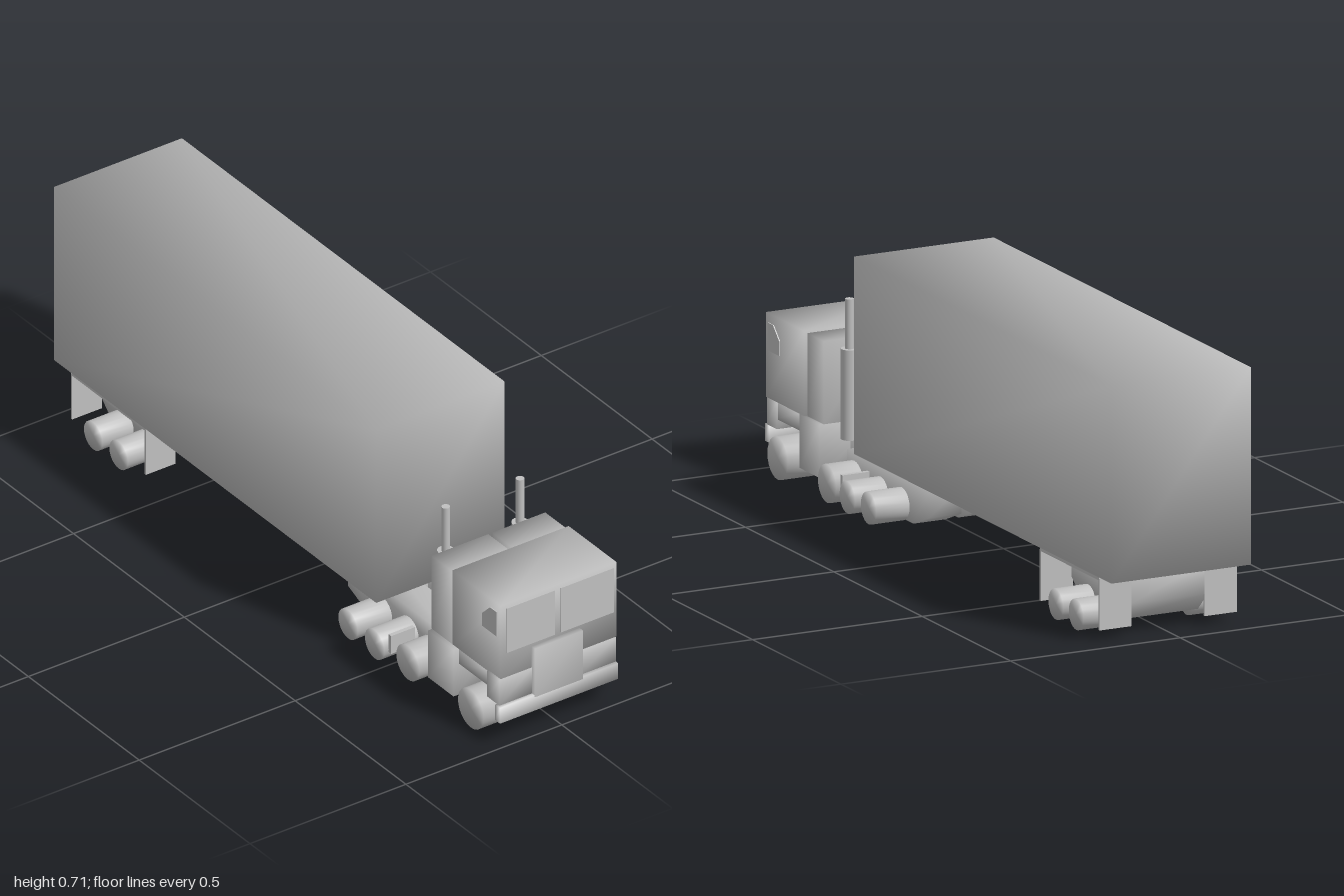
import * as THREE from 'three';
import { mergeVertices } from 'three/addons/utils/BufferGeometryUtils.js';

const grey = new THREE.MeshStandardMaterial({ color: 0xc0c0c0 });
grey.name = 'plain grey';

// Weld corners so that shading flows softly over the edges
function soften(geo) {
  geo.deleteAttribute('uv');
  geo.deleteAttribute('normal');
  const welded = mergeVertices(geo, 1e-4);
  welded.computeVertexNormals();
  return welded;
}

export function createModel() {
  const truck = new THREE.Group();
  truck.name = 'truck';

  function add(name, geo, soft = true) {
    const mesh = new THREE.Mesh(soft ? soften(geo) : geo, grey);
    mesh.name = name;
    truck.add(mesh);
    return mesh;
  }
  // Box given by its limits on each axis
  function box(name, x0, x1, y0, y1, z0, z1, soft = true) {
    const geo = new THREE.BoxGeometry(x1 - x0, y1 - y0, z1 - z0);
    geo.translate((x0 + x1) / 2, (y0 + y1) / 2, (z0 + z1) / 2);
    return add(name, geo, soft);
  }
  // Cylinder lying along x
  function roller(name, x0, x1, y, z, r) {
    const geo = new THREE.CylinderGeometry(r, r, x1 - x0, 24);
    geo.rotateZ(Math.PI / 2);
    geo.translate((x0 + x1) / 2, y, z);
    return add(name, geo);
  }
  // Side outline in (z, y), extruded from x0 to x1
  function slab(name, x0, x1, outline, soft = true) {
    const shape = new THREE.Shape(outline.map(([z, y]) => new THREE.Vector2(-z, y)));
    const geo = new THREE.ExtrudeGeometry(shape, { depth: x1 - x0, bevelEnabled: false });
    geo.rotateY(Math.PI / 2);
    geo.translate(x0, 0, 0);
    return add(name, geo, soft);
  }
  function pipe(name, x, z, r, y0, y1) {
    const geo = new THREE.CylinderGeometry(r, r, y1 - y0, 16);
    geo.translate(x, (y0 + y1) / 2, z);
    return add(name, geo, false);
  }

  // Trailer
  box('trailerBody', -0.208, 0.203, 0.175, 0.71, -1, 0.455);
  slab('trailerBogie', -0.12, 0.11, [
    [-0.59, 0.175], [-0.925, 0.175], [-0.925, 0.09], [-0.87, 0.035], [-0.66, 0.035], [-0.59, 0.09],
  ]);
  for (const [x0, x1] of [[-0.205, -0.11], [0.105, 0.2]]) {
    box('trailerFender', x0, x1, 0.165, 0.175, -0.925, -0.59, false);
    for (const z of [-0.592, -0.924]) box('mudFlap', x0, x1, 0.03, 0.17, z - 0.003, z + 0.003, false);
  }
  for (const z of [-0.69, -0.805]) {
    roller('trailerWheel', -0.22, -0.12, 0.045, z, 0.042);
    roller('trailerWheel', 0.11, 0.205, 0.045, z, 0.042);
  }

  // Cab and windows
  box('cab', -0.185, 0.187, 0.2, 0.43, 0.768, 0.984);
  box('windscreen', -0.168, -0.013, 0.28, 0.417, 0.982, 0.987, false);
  box('windscreen', 0.007, 0.177, 0.28, 0.417, 0.982, 0.987, false);
  const windowOutline = [[0.97, 0.405], [0.94, 0.405], [0.905, 0.37], [0.905, 0.33], [0.97, 0.33]];
  slab('sideWindow', -0.188, -0.183, windowOutline, false);
  slab('sideWindow', 0.185, 0.19, windowOutline, false);
  box('sleeper', -0.185, -0.003, 0.2, 0.425, 0.672, 0.764);
  box('sleeper', 0.01, 0.18, 0.2, 0.425, 0.672, 0.764);

  // Nose, bumper and lower body
  box('grille', -0.086, 0.068, 0.12, 0.27, 0.972, 1);
  box('nosePanel', -0.19, -0.085, 0.125, 0.204, 0.93, 0.986);
  box('nosePanel', 0.068, 0.184, 0.125, 0.2, 0.93, 0.986);
  box('bumper', -0.196, 0.183, 0.077, 0.125, 0.975, 0.997);
  box('cabFloor', -0.18, 0.18, 0.15, 0.204, 0.79, 0.94);
  box('cabStep', -0.198, -0.01, 0.055, 0.2, 0.675, 0.79);
  box('cabStep', 0.01, 0.19, 0.055, 0.2, 0.675, 0.79);

  // Chassis rails with tapered tails
  for (const [x0, x1] of [[-0.11, -0.012], [0.025, 0.12]]) {
    slab('chassisRail', x0, x1, [
      [0.655, 0.13], [0.19, 0.13], [0.19, 0.055], [0.28, 0.018], [0.61, 0.018], [0.655, 0.06],
    ]);
    box('frontRail', x0 + 0.02, x1 - 0.02, 0.055, 0.15, 0.65, 0.95);
  }
  box('crossMember', -0.05, 0.06, 0.06, 0.11, 0.3, 0.36);
  box('crossMember', -0.05, 0.06, 0.06, 0.11, 0.54, 0.6);
  roller('frontAxle', -0.15, 0.15, 0.065, 0.875, 0.02);

  // Tractor wheels and fuel tanks
  roller('frontWheel', -0.203, -0.124, 0.063, 0.875, 0.058);
  roller('frontWheel', 0.115, 0.21, 0.063, 0.875, 0.058);
  for (const z of [0.465, 0.345]) {
    roller('rearWheel', -0.22, -0.11, 0.057, z, 0.044);
    roller('rearWheel', 0.12, 0.218, 0.057, z, 0.044);
  }
  for (const [x0, x1] of [[-0.206, -0.13], [0.13, 0.21]]) {
    roller('fuelTank', x0, x1, 0.062, 0.595, 0.052);
    box('wheelGuard', x0, x1, 0.05, 0.105, 0.508, 0.52, false);
  }

  // Exhaust stacks
  for (const x of [-0.12, 0.118]) {
    pipe('muffler', x, 0.645, 0.023, 0.16, 0.405);
    pipe('exhaustPipe', x, 0.645, 0.0115, 0.4, 0.54);
  }
  return truck;
}
